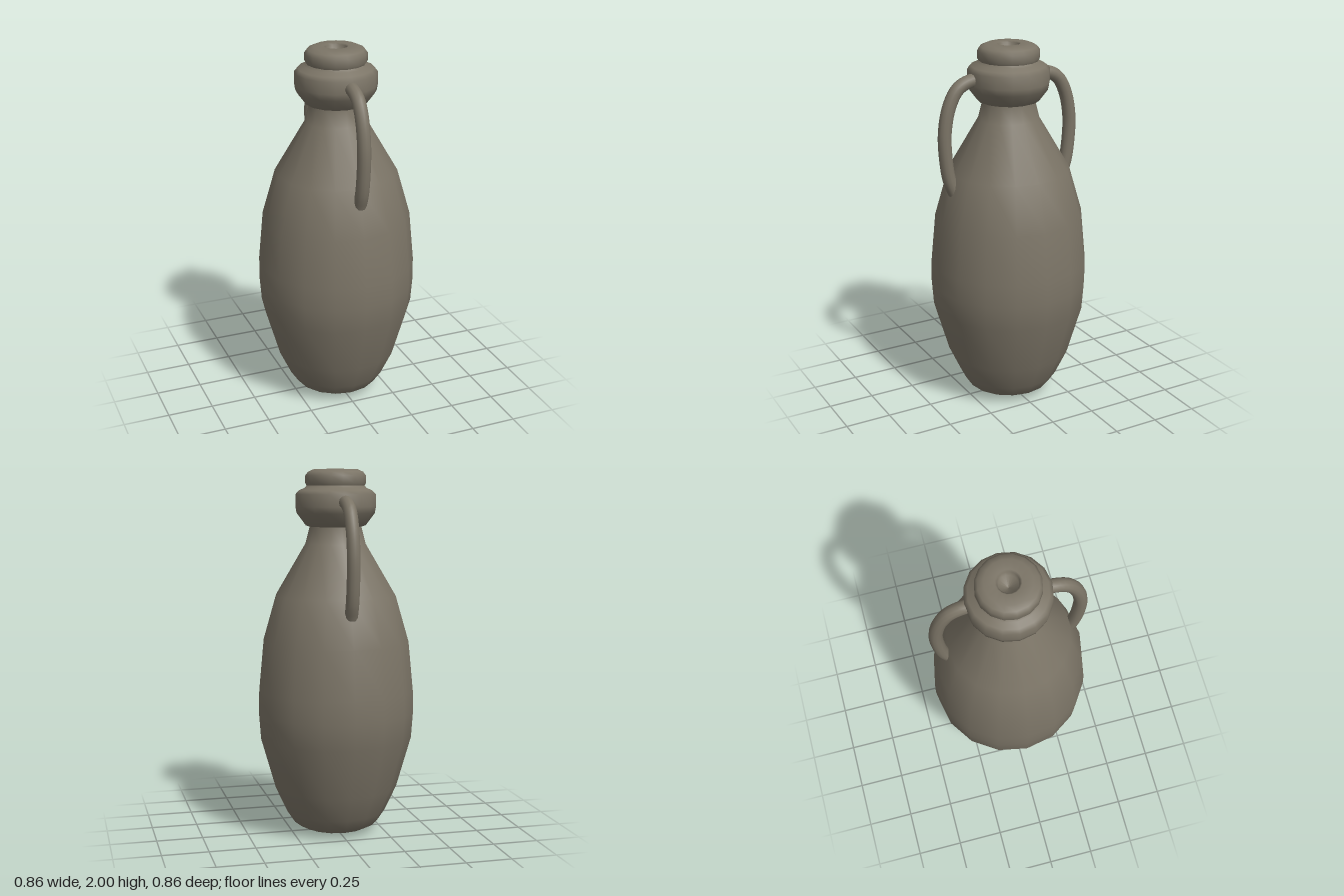
import * as THREE from 'three';

const SIDES = 16;

// Turned part from [radius, height] pairs, bottom to top
function turned(name, profile, material) {
  const points = profile.map(([r, y]) => new THREE.Vector2(r, y));
  const mesh = new THREE.Mesh(new THREE.LatheGeometry(points, SIDES), material);
  mesh.name = name;
  return mesh;
}

export function createModel() {
  const group = new THREE.Group();
  group.name = 'bottle';
  const clay = new THREE.MeshStandardMaterial({ color: 0x7b7466, side: THREE.DoubleSide });
  clay.name = 'grey brown clay';

  // Swelling body, shoulder and neck
  group.add(turned('body', [
    [0, 0.005], [0.12, 0.014], [0.18, 0.027], [0.232, 0.055], [0.275, 0.12],
    [0.34, 0.26], [0.42, 0.54], [0.43, 0.68], [0.428, 0.8], [0.402, 1.07],
    [0.33, 1.32], [0.165, 1.6], [0.142, 1.69], [0.14, 1.74],
  ], clay));

  // Thick collar around the neck
  group.add(turned('collar', [
    [0.135, 1.69], [0.165, 1.7], [0.214, 1.765], [0.22, 1.8], [0.219, 1.865],
    [0.2, 1.885], [0.168, 1.9], [0.155, 1.915],
  ], clay));

  // Rounded lip with a small dished opening
  group.add(turned('lip', [
    [0.15, 1.9], [0.166, 1.925], [0.165, 1.965], [0.15, 1.985], [0.12, 1.998],
    [0.065, 2], [0.055, 1.992], [0.05, 1.965], [0, 1.93],
  ], clay));

  // Looped handles at front and back, with rounded lower ends
  const path = [
    [0.17, 1.826], [0.235, 1.822], [0.3, 1.788], [0.35, 1.7],
    [0.378, 1.56], [0.372, 1.4], [0.355, 1.3], [0.33, 1.235],
  ];
  for (const [side, name] of [[1, 'frontHandle'], [-1, 'backHandle']]) {
    const curve = new THREE.CatmullRomCurve3(
      path.map(([z, y]) => new THREE.Vector3(0, y, z * side)));
    const handle = new THREE.Group();
    handle.name = name;
    const loop = new THREE.Mesh(new THREE.TubeGeometry(curve, 28, 0.036, 12), clay);
    loop.name = 'handleLoop';
    const end = new THREE.Mesh(new THREE.SphereGeometry(0.036, 12, 8), clay);
    end.name = 'handleEnd';
    end.position.copy(curve.getPoint(1));
    handle.add(loop, end);
    group.add(handle);
  }
  return group;
}
